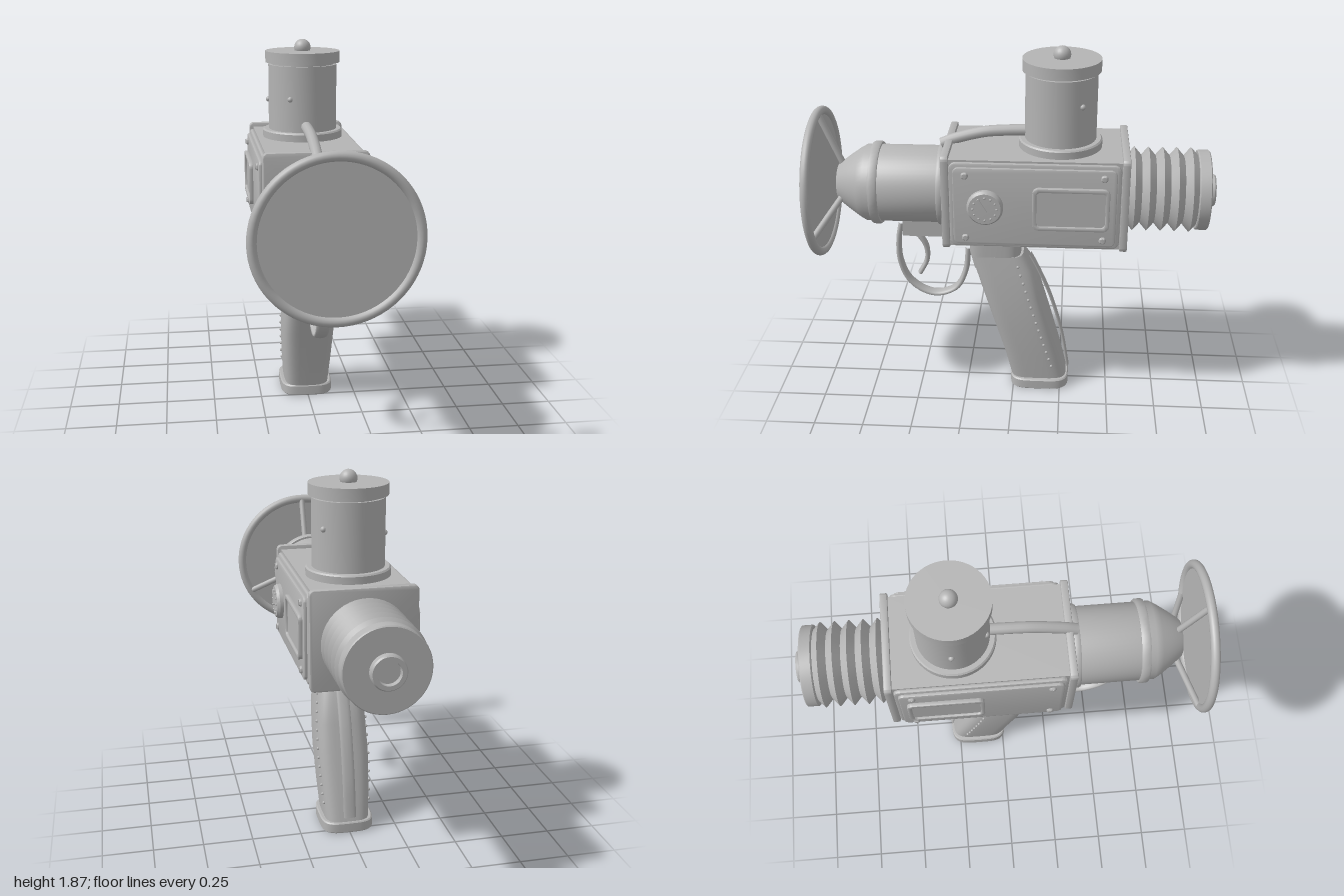
import * as THREE from 'three';
import { toCreasedNormals } from 'three/addons/utils/BufferGeometryUtils.js';

const AXIS_Y = 1.14; // height of the barrel axis
const TURRET_Z = -0.228;

export function createModel() {
  const model = new THREE.Group();
  const grey = new THREE.MeshStandardMaterial({ color: 0xb4b4b4 });

  const add = (name, geo, x = 0, y = 0, z = 0) => {
    const mesh = new THREE.Mesh(geo, grey);
    mesh.name = name;
    mesh.position.set(x, y, z);
    model.add(mesh);
    return mesh;
  };
  const v = (x, y, z) => new THREE.Vector3(x, y, z);
  const crease = (geo) => toCreasedNormals(geo, 0.6);

  // Turned part from [radius, height] pairs, bottom to top
  const turned = (pts, seg = 48) =>
    crease(new THREE.LatheGeometry(pts.map(([r, h]) => new THREE.Vector2(r, h)), seg));
  const turnedZ = (pts, seg) => turned(pts, seg).rotateX(Math.PI / 2);

  // Rounded rectangle outline
  const outline = (w, h, r, Type = THREE.Shape) => {
    const s = new Type(), a = w / 2, b = h / 2;
    s.moveTo(-a + r, -b);
    s.lineTo(a - r, -b).absarc(a - r, -b + r, r, -Math.PI / 2, 0);
    s.lineTo(a, b - r).absarc(a - r, b - r, r, 0, Math.PI / 2);
    s.lineTo(-a + r, b).absarc(-a + r, b - r, r, Math.PI / 2, Math.PI);
    s.lineTo(-a, -b + r).absarc(-a + r, -b + r, r, Math.PI, Math.PI * 1.5);
    return s;
  };
  const extrude = (shape, depth, bevel = 0) =>
    crease(new THREE.ExtrudeGeometry(shape, {
      depth: depth - 2 * bevel, bevelEnabled: bevel > 0, bevelThickness: bevel,
      bevelSize: bevel, bevelOffset: -bevel, bevelSegments: 2, curveSegments: 6,
    }).translate(0, 0, bevel));

  // Loft of rounded sections [y, frontZ, backZ, halfWidth], bottom to top
  const loft = (levels, n = 40) => {
    const pos = [], idx = [];
    const soft = (c) => Math.sign(c) * Math.sqrt(Math.abs(c));
    levels.forEach(([y, f, b, w], k) => {
      for (let i = 0; i < n; i++) {
        const t = (i / n) * Math.PI * 2;
        pos.push(w * soft(Math.cos(t)), y, (f + b) / 2 + ((f - b) / 2) * soft(Math.sin(t)));
        if (k === levels.length - 1) continue;
        const a = k * n + i, b0 = k * n + ((i + 1) % n);
        idx.push(a, a + n, b0, b0, a + n, b0 + n);
      }
    });
    const geo = new THREE.BufferGeometry();
    geo.setAttribute('position', new THREE.Float32BufferAttribute(pos, 3));
    geo.setIndex(idx);
    return crease(geo);
  };

  // Tube through [y, z] points in the middle plane, widened sideways
  const strap = (pts, r, widen = 1) =>
    new THREE.TubeGeometry(new THREE.CatmullRomCurve3(pts.map(([y, z]) => v(0, y, z))), 40, r, 12)
      .scale(widen, 1, 1);
  const rod = (a, b, r) => new THREE.TubeGeometry(new THREE.LineCurve3(a, b), 1, r, 12);

  // Housing with front and rear flanges
  add('housing', new THREE.BoxGeometry(0.47, 0.455, 0.86), 0, AXIS_Y, -0.11);
  for (const [name, z] of [['frontFlange', 0.303], ['rearFlange', -0.565]])
    add(name, extrude(outline(0.51, 0.485, 0.025), 0.037, 0.006), 0, AXIS_Y + 0.005, z);

  // Side panels with screws and framed windows
  for (const s of [1, -1]) {
    const side = (name, geo, x, y, z) =>
      add(name, geo.rotateY((s * Math.PI) / 2), s * x, y, z);
    side('sidePanel', extrude(outline(0.825, 0.44, 0.035), 0.025, 0.01), 0.23, AXIS_Y, -0.112);
    side('sidePanelFace', extrude(outline(0.785, 0.4, 0.03), 0.02, 0.005), 0.25, AXIS_Y, -0.112);
    side('window', extrude(outline(0.36, 0.21, 0.025), 0.012), 0.266, AXIS_Y, -0.287);
    const frame = outline(0.37, 0.22, 0.03);
    frame.holes.push(outline(0.33, 0.18, 0.02, THREE.Path));
    side('windowFrame', extrude(frame, 0.024, 0.004), 0.266, AXIS_Y, -0.287);
    for (const z of [0.222, -0.443]) for (const y of [0.977, 1.302]) {
      side('screw', turnedZ([[0.018, 0], [0.018, 0.006], [0.012, 0.013], [0, 0.015]], 16), 0.268, y, z);
      add('screwSlot', new THREE.BoxGeometry(0.004, 0.026, 0.005), s * 0.282, y, z);
    }
  }

  // Gauge on the left side
  const gauge = new THREE.Group();
  gauge.name = 'gauge';
  gauge.position.set(0.268, 1.143, 0.125);
  gauge.rotation.y = Math.PI / 2;
  model.add(gauge);
  const dial = (name, geo) => {
    const m = new THREE.Mesh(geo, grey);
    m.name = name;
    gauge.add(m);
    return m;
  };
  dial('gaugeBody', turnedZ([[0.088, 0], [0.088, 0.02], [0.078, 0.034], [0, 0.036]]));
  for (let i = 0; i < 12; i++) {
    const a = (i / 12) * Math.PI * 2;
    dial('gaugeMark', new THREE.SphereGeometry(0.006, 8, 6))
      .position.set(0.058 * Math.cos(a), 0.058 * Math.sin(a), 0.035);
  }
  const needle = dial('gaugeNeedle', new THREE.BoxGeometry(0.01, 0.08, 0.008));
  needle.position.set(-0.012, 0.018, 0.038);
  needle.rotation.z = 0.55;

  // Barrel, collars and rounded nose
  add('barrel', turnedZ([[0.195, 0.33], [0.195, 0.74], [0.175, 0.775], [0.14, 0.825],
    [0.105, 0.872], [0.09, 0.888], [0, 0.893]]), 0, AXIS_Y, 0);
  for (const [r, a, b] of [[0.208, 0.335, 0.375], [0.21, 0.665, 0.71]])
    add('barrelCollar', turnedZ([[0.19, a], [r - 0.005, a], [r, a + 0.008], [r, b - 0.008],
      [r - 0.005, b], [0.19, b]]), 0, AXIS_Y, 0);

  // Dish with rim and three spokes
  add('dish', turnedZ([[0, 0.97], [0.35, 0.97], [0.35, 0.982], [0, 0.982]], 64), 0, AXIS_Y, 0);
  add('dishRim', new THREE.TorusGeometry(0.358, 0.0225, 14, 72), 0, AXIS_Y, 0.9775);
  for (let i = 0; i < 3; i++) {
    const a = Math.PI / 2 + (i * Math.PI * 2) / 3, c = Math.cos(a), s = Math.sin(a);
    add('dishSpoke', rod(v(c * 0.09, s * 0.09, 0.86), v(c * 0.35, s * 0.35, 0.968), 0.016), 0, AXIS_Y, 0);
  }

  // Bellows and end cap
  const folds = [[0.17, -0.915]];
  for (let i = 0; i < 5; i++) {
    const z = -0.875 + i * 0.07;
    folds.push([0.21, z], [0.17, z + 0.035]);
  }
  folds.push([0.185, -0.55]);
  add('bellows', turnedZ(folds), 0, AXIS_Y, 0);
  add('endCap', turnedZ([[0, -0.965], [0.195, -0.965], [0.2, -0.96], [0.2, -0.91],
    [0.195, -0.905], [0, -0.905]]), 0, AXIS_Y, 0);
  add('endRing', turnedZ([[0, -0.978], [0.052, -0.978], [0.055, -1], [0.075, -1],
    [0.081, -0.992], [0.081, -0.96]]), 0, AXIS_Y, 0);

  // Turret with lid, knob and rivets
  add('turretBase', turned([[0.205, 1.36], [0.205, 1.403], [0.198, 1.41], [0.17, 1.41]]), 0, 0, TURRET_Z);
  add('turret', turned([[0.175, 1.36], [0.175, 1.74], [0.16, 1.74], [0.16, 1.76]]), 0, 0, TURRET_Z);
  add('turretLid', turned([[0, 1.75], [0.19, 1.75], [0.19, 1.807], [0, 1.807]]), 0, 0, TURRET_Z);
  add('knob', new THREE.SphereGeometry(0.042, 24, 16), 0, 1.823, TURRET_Z);
  for (const [a, y] of [[-0.63, 1.61], [2.05, 1.577], [3.2, 1.56]])
    add('rivet', new THREE.SphereGeometry(0.014, 12, 8),
      0.175 * Math.cos(a), y, TURRET_Z + 0.175 * Math.sin(a));

  // Feed pipe over the housing
  add('feedPipe', strap([[1.36, 0.36], [1.385, 0.3], [1.425, 0.15], [1.435, 0.05], [1.44, -0.07]], 0.028));

  // Grip, neck and foot
  const grip = [[0.05, 0.01, -0.285, 0.115], [0.2, -0.038 + 0.08, -0.248, 0.126],
    [0.38, 0.101, -0.197, 0.134], [0.55, 0.154, -0.148, 0.13], [0.7, 0.2, -0.105, 0.116], [0.78, 0.226, -0.05, 0.106]];
  grip[1][1] = 0.046;
  add('grip', loft([...grip, [0.782, 0.09, 0.09, 0]]));
  add('gripNeck', loft([[0.7, 0.205, -0.035, 0.105], [0.79, 0.228, -0.038, 0.106], [0.93, 0.228, -0.04, 0.106]]));
  add('gripFoot', loft([[0, -0.14, -0.14, 0], [0, 0.01, -0.29, 0.13], [0.006, 0.015, -0.295, 0.136],
    [0.052, 0.015, -0.295, 0.136], [0.058, 0.01, -0.29, 0.13], [0.058, -0.14, -0.14, 0]]));
  add('gripBackStrap', strap([[0.76, -0.08], [0.7, -0.112], [0.525, -0.187], [0.284, -0.256],
    [0.085, -0.29]], 0.008, 4));

  // Studs down both sides of the grip
  for (let i = 0; i < 14; i++) {
    const t = i / 13, y = 0.73 - 0.59 * t;
    const k = Math.max(0, grip.findIndex((l) => l[0] > y) - 1);
    const u = (y - grip[k][0]) / (grip[k + 1][0] - grip[k][0]);
    const w = THREE.MathUtils.lerp(grip[k][3], grip[k + 1][3], u);
    for (const s of [1, -1])
      add('gripStud', new THREE.SphereGeometry(0.008, 8, 6), s * w * 0.985, y, -0.025 - 0.18 * t);
  }

  // Trigger, guard and their mount
  add('triggerMount', new THREE.BoxGeometry(0.1, 0.085, 0.325), 0, 0.907, 0.408);
  add('triggerGuard', strap([[0.925, 0.582], [0.83, 0.6], [0.7, 0.598], [0.59, 0.555], [0.525, 0.475],
    [0.51, 0.4], [0.55, 0.305], [0.65, 0.255], [0.79, 0.238]], 0.0145, 2.3));
  add('trigger', strap([[0.875, 0.53], [0.85, 0.495], [0.79, 0.46], [0.71, 0.457], [0.63, 0.495]], 0.013, 2.2));

  return model;
}
